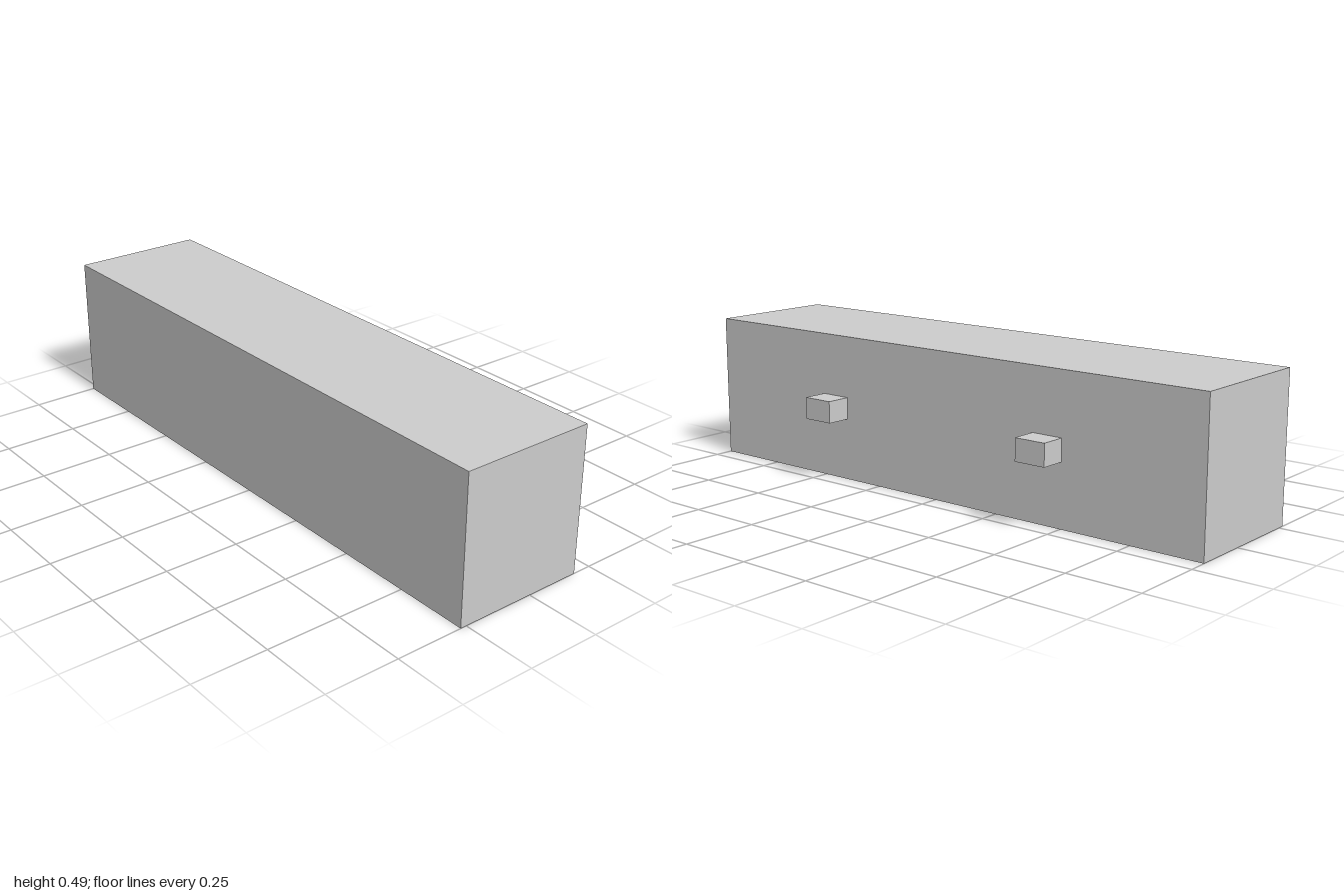
import * as THREE from 'three';

const material = new THREE.MeshStandardMaterial({ color: 0xcccccc, flatShading: true });

// Box given by its minimum and maximum corners
function boxBetween(name, min, max) {
  const size = max.map((v, i) => v - min[i]);
  const mesh = new THREE.Mesh(new THREE.BoxGeometry(...size), material);
  mesh.position.set(...max.map((v, i) => (v + min[i]) / 2));
  mesh.name = name;
  return mesh;
}

export function createModel() {
  const model = new THREE.Group();
  model.name = 'drawerBlock';

  // Long solid body
  model.add(boxBetween('body', [-0.271, 0, -1], [0.186, 0.492, 1]));

  // Two square knobs on the long side
  for (const z of [-0.447, 0.447]) {
    model.add(boxBetween(z > 0 ? 'frontKnob' : 'backKnob',
      [0.186, 0.21, z - 0.055], [0.271, 0.284, z + 0.055]));
  }
  return model;
}
